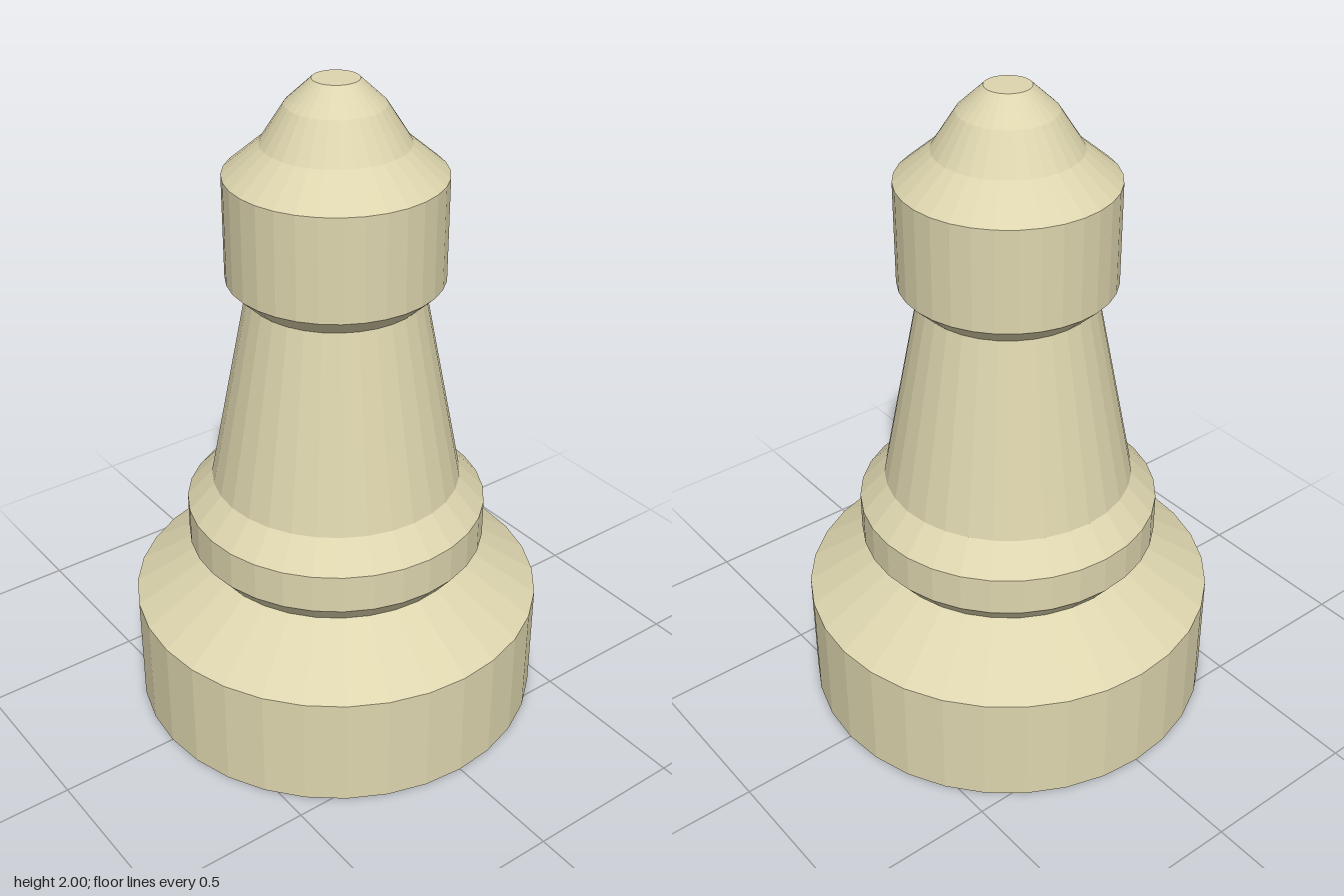
import * as THREE from 'three';

const SIDES = 32;

export function createModel() {
  const model = new THREE.Group();
  model.name = 'chessPawn';

  const ivory = new THREE.MeshStandardMaterial({ color: 0xddd5ae });
  ivory.name = 'ivory';
  ivory.flatShading = true;

  // Each part is a turned section, given as [radius, height] from bottom to top;
  // neighbouring sections share their end rings, so the whole is closed.
  const turned = (name, profile) => {
    const points = profile.map(([r, y]) => new THREE.Vector2(r, y));
    const mesh = new THREE.Mesh(new THREE.LatheGeometry(points, SIDES), ivory);
    mesh.name = name;
    model.add(mesh);
  };

  // Wide foot with a sloping shoulder
  turned('base', [[0, 0], [0.633, 0], [0.633, 0.355], [0.41, 0.5]]);

  // Bevelled ring above the foot
  turned('collar', [[0.41, 0.5], [0.458, 0.56], [0.458, 0.68], [0.38, 0.765]]);

  // Tapering shaft
  turned('stem', [[0.38, 0.765], [0.262, 1.365]]);

  // Drum under the cap
  turned('head', [[0.262, 1.365], [0.319, 1.42], [0.319, 1.73]]);

  // Rounded cap with a flat tip
  turned('cap', [[0.319, 1.73], [0.213, 1.82], [0.142, 1.93], [0.067, 2], [0, 2]]);

  return model;
}
